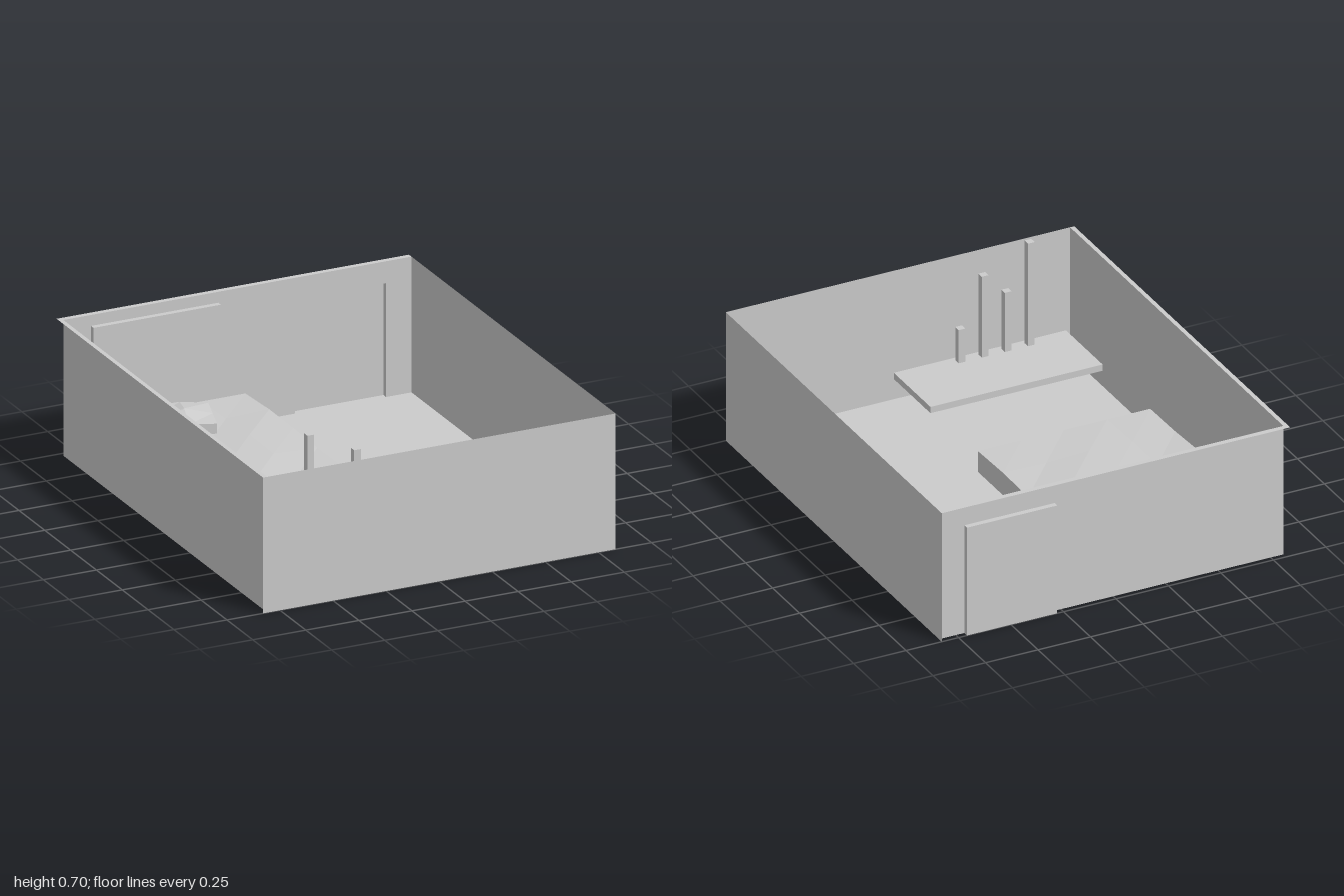
import * as THREE from 'three';

const mat = new THREE.MeshStandardMaterial({ color: 0xcccccc, side: THREE.DoubleSide, flatShading: true });

function add(parent, name, geometry) {
  const mesh = new THREE.Mesh(geometry, mat);
  mesh.name = name;
  parent.add(mesh);
  return mesh;
}

// Box given by its minimum and maximum corner
function block(parent, name, [x0, y0, z0], [x1, y1, z1], sx = 1, sz = 1) {
  const g = new THREE.BoxGeometry(x1 - x0, y1 - y0, z1 - z0, sx, 1, sz);
  g.translate((x0 + x1) / 2, (y0 + y1) / 2, (z0 + z1) / 2);
  return add(parent, name, g);
}

// Thin horizontal sheet facing up
function sheet(parent, name, x0, x1, y, z0, z1) {
  const g = new THREE.PlaneGeometry(x1 - x0, z1 - z0).rotateX(-Math.PI / 2);
  return add(parent, name, g.translate((x0 + x1) / 2, y, (z0 + z1) / 2));
}

// Thin upright sheet facing +x
function sideSheet(parent, name, x, y0, y1, z0, z1) {
  const g = new THREE.PlaneGeometry(z1 - z0, y1 - y0).rotateY(Math.PI / 2);
  return add(parent, name, g.translate(x, (y0 + y1) / 2, (z0 + z1) / 2));
}

// Thin upright sheet facing +z
function frontSheet(parent, name, x0, x1, y0, y1, z) {
  const g = new THREE.PlaneGeometry(x1 - x0, y1 - y0);
  return add(parent, name, g.translate((x0 + x1) / 2, (y0 + y1) / 2, z));
}

// Move the vertices of a geometry by a rule
function shift(geometry, rule) {
  const p = geometry.attributes.position;
  const v = new THREE.Vector3();
  for (let i = 0; i < p.count; i++) {
    rule(v.fromBufferAttribute(p, i));
    p.setXYZ(i, v.x, v.y, v.z);
  }
  geometry.computeVertexNormals();
}

export function createModel() {
  const model = new THREE.Group();
  const X = 0.83, Z = 1, H = 0.62;
  const innerX = -0.81, innerZ = -0.975;
  const door = { x0: 0.28, x1: 0.71, h: 0.52 };

  // Room shell: single-sheet walls, with rims over the recessed back and side walls
  const room = new THREE.Group();
  room.name = 'room';
  model.add(room);
  sheet(room, 'floor', innerX, X, 0, innerZ, Z);
  frontSheet(room, 'frontWall', -X, X, 0, H, Z);
  sideSheet(room, 'leftWall', X, 0, H, -Z, Z);
  sideSheet(room, 'rightWall', innerX, 0, H, innerZ, Z);
  sheet(room, 'backRim', -X, X, H, -Z, innerZ);
  sheet(room, 'rightRim', -X, innerX, H, innerZ, Z);

  // Back wall cut around the doorway
  const wall = new THREE.Shape([
    [innerX, 0], [door.x0, 0], [door.x0, door.h], [door.x1, door.h],
    [door.x1, 0], [X, 0], [X, H], [innerX, H],
  ].map(([x, y]) => new THREE.Vector2(x, y)));
  add(room, 'backWall', new THREE.ShapeGeometry(wall).translate(0, 0, innerZ));

  // Door recess
  frontSheet(room, 'door', door.x0, door.x1, 0, door.h, -Z);
  for (const x of [door.x0, door.x1]) sideSheet(room, 'doorJamb', x, 0, door.h, -Z, innerZ);
  for (const y of [0, door.h]) sheet(room, y ? 'doorLintel' : 'doorSill', door.x0, door.x1, y, -Z, innerZ);

  // Wall panel above the bed
  block(model, 'wallPanel', [-0.68, 0.23, innerZ], [-0.08, 0.57, -0.95]);

  // Mattress with a gently uneven top
  const mattress = block(model, 'mattress', [-0.78, 0.04, -0.96], [0.04, 0.14, 0.2], 4, 5);
  shift(mattress.geometry, (v) => {
    if (v.y > 0.1) {
      const along = Math.sin(((v.z + 0.96) / 1.16) * Math.PI);
      v.y += along * (0.012 + 0.008 * Math.sin(v.x * 11 + v.z * 7));
    }
  });

  // Pillow, turned on the bed, with a raised middle and a bowed front edge
  const pillow = add(model, 'pillow', new THREE.BoxGeometry(0.245, 0.045, 0.24, 2, 1, 2));
  shift(pillow.geometry, (v) => {
    const middle = Math.abs(v.x) < 0.01;
    if (v.y > 0 && middle) v.y += Math.abs(v.z) < 0.01 ? 0.03 : 0.012;
    if (middle && v.z > 0.1) v.z += 0.02;
  });
  pillow.position.set(-0.365, 0.178, -0.72);
  pillow.rotation.y = -0.295;

  // Low shelf with a row of upright bars
  block(model, 'shelf', [-0.78, 0.11, 0.64], [0.04, 0.14, 0.98]);
  [0.705, 0.495, 0.6, 0.37].forEach((top, i) => {
    const x = -0.53 + i * 0.11;
    block(model, 'bar', [x - 0.016, 0.21, 0.814], [x + 0.016, top, 0.846]);
  });

  return model;
}
